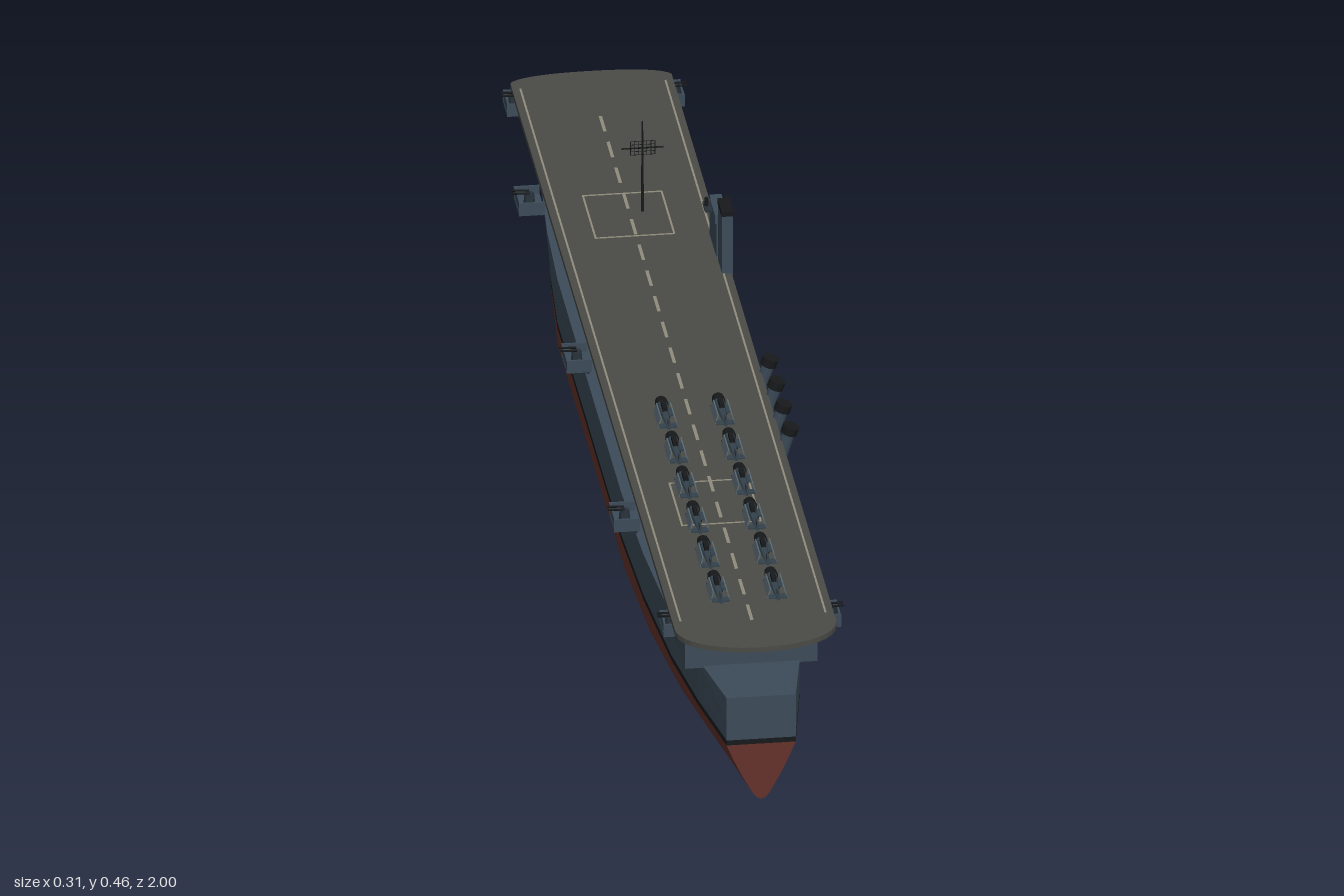
import * as THREE from 'three';

const CX = 0.009; // ship centreline
const mat = (color, side = THREE.FrontSide) =>
  new THREE.MeshStandardMaterial({ color, flatShading: true, side });
const GREY = mat(0x3c4b59), DARK = mat(0x28323b), BLACK = mat(0x17191a), RED = mat(0x65322b);
const DECK = mat(0x4a4a46), LINE = mat(0x8f8c7c), PLANE = mat(0x34424c), WING = mat(0x5b6a72);

function add(parent, name, geo, material, x = 0, y = 0, z = 0) {
  const m = new THREE.Mesh(geo, material);
  m.name = name;
  m.position.set(x, y, z);
  parent.add(m);
  return m;
}
const box = (p, name, m, w, h, d, x, y, z) => add(p, name, new THREE.BoxGeometry(w, h, d), m, x, y, z);

// Cylinder between two points
function rod(p, name, m, a, b, r0, r1 = r0, n = 6) {
  const A = new THREE.Vector3(...a), B = new THREE.Vector3(...b), d = B.clone().sub(A);
  const c = add(p, name, new THREE.CylinderGeometry(r1, r0, d.length(), n), m);
  c.position.copy(A).add(B).multiplyScalar(0.5);
  c.quaternion.setFromUnitVectors(new THREE.Vector3(0, 1, 0), d.normalize());
  return c;
}

// Closed solid through rings running port, keel, starboard, from stern to bow
function loft(rings) {
  const pos = [], n = rings[0].length;
  const tri = (a, b, c) => pos.push(...a, ...b, ...c);
  for (let i = 0; i < rings.length - 1; i++)
    for (let j = 0; j < n; j++) {
      const k = (j + 1) % n, [a, b, c, d] = [rings[i][j], rings[i + 1][j], rings[i][k], rings[i + 1][k]];
      tri(a, b, c);
      tri(c, b, d);
    }
  [rings[0], rings[rings.length - 1]].forEach((r, e) => {
    const c = [0, 1, 2].map(q => r.reduce((s, p) => s + p[q], 0) / n);
    for (let j = 0; j < n; j++) {
      const k = (j + 1) % n;
      e ? tri(c, r[k], r[j]) : tri(c, r[j], r[k]);
    }
  });
  const g = new THREE.BufferGeometry();
  g.setAttribute('position', new THREE.Float32BufferAttribute(pos, 3));
  g.computeVertexNormals();
  return g;
}

function createHull(ship) {
  // z, waterline half breadth, deck half breadth, fullness of the bottom, deck height
  const stations = [
    [0.99, 0.051, 0.051, 0, 0.167], [0.85, 0.075, 0.077, 0.35, 0.167], [0.7, 0.094, 0.096, 0.65, 0.167],
    [0.5, 0.108, 0.109, 0.9, 0.167], [0.3, 0.114, 0.114, 1, 0.167], [0, 0.114, 0.114, 1, 0.167],
    [-0.4, 0.114, 0.114, 1, 0.169], [-0.55, 0.104, 0.109, 0.9, 0.172], [-0.7, 0.083, 0.098, 0.65, 0.176],
    [-0.82, 0.056, 0.078, 0.4, 0.181], [-0.9, 0.034, 0.053, 0.2, 0.185], [-0.96, 0.015, 0.028, 0.08, 0.188],
    [-1, 0.002, 0.003, 0, 0.19]];
  const full = [[0, 0.001], [0.35, 0.005], [0.7, 0.011], [0.84, 0.022], [0.94, 0.038], [0.99, 0.058], [1, 0.09]];
  const vee = [[0, 0], [0.12, 0.002], [0.27, 0.012], [0.48, 0.032], [0.66, 0.05], [0.82, 0.068], [1, 0.09]];
  const mirror = (half, z) => [
    ...half.slice().reverse().map(([x, y]) => [CX - x, y, z]),
    ...half.map(([x, y]) => [CX + x, y, z])];
  const band = (name, m, half) => add(ship, name, loft(stations.map(s => mirror(half(s), s[0]))), m);
  band('lowerHull', RED, ([, w, , f]) => full.map(([x, y], i) =>
    [w * THREE.MathUtils.lerp(vee[i][0], x, f), THREE.MathUtils.lerp(vee[i][1], y, f)]));
  band('waterlineStripe', BLACK, ([, w]) => [[w, 0.09], [w, 0.098]]);
  band('upperHull', GREY, ([, w, d, , h]) => [[w, 0.098], [w + (d - w) * 0.4, 0.13], [d, h]]);
  // Bollards on the foredeck
  for (const s of [-1, 1]) for (const z of [-0.87, -0.93])
    rod(ship, 'bollard', BLACK, [CX + s * 0.018, 0.183, z], [CX + s * 0.018, 0.194, z], 0.003);
}

function createFlightDeck(ship) {
  box(ship, 'hangar', GREY, 0.196, 0.083, 1.635, CX, 0.2055, 0.0625);
  const s = new THREE.Shape(), w = 0.119;
  s.moveTo(-w, -0.93);
  s.bezierCurveTo(-w * 0.95, -0.98, -0.05, -1, 0, -1);
  s.bezierCurveTo(0.05, -1, w * 0.95, -0.98, w, -0.93);
  s.lineTo(w, 0.88);
  s.bezierCurveTo(w * 0.9, 0.9, 0.05, 0.905, 0, 0.905);
  s.bezierCurveTo(-0.05, 0.905, -w * 0.9, 0.9, -w, 0.88);
  const g = new THREE.ExtrudeGeometry(s, { depth: 0.008, bevelEnabled: false, curveSegments: 10 });
  add(ship, 'flightDeck', g.rotateX(-Math.PI / 2), DECK, CX, 0.244, 0);

  // Painted lines
  const Y = 0.2522;
  for (let z = -0.73; z < 0.9; z += 0.085) box(ship, 'centreDash', LINE, 0.005, 0.001, 0.05, CX - 0.003, Y, z);
  for (const x of [-0.107, 0.107]) box(ship, 'edgeLine', LINE, 0.003, 0.001, 1.76, CX + x, Y, 0.02);
  for (const z of [-0.43, 0.52]) {
    for (const q of [-1, 1]) {
      box(ship, 'elevatorOutline', LINE, 0.118, 0.001, 0.003, 0.004, Y, z + q * 0.07);
      box(ship, 'elevatorOutline', LINE, 0.003, 0.001, 0.14, 0.004 + q * 0.058, Y, z);
    }
  }
  for (const q of [-1, 1]) {
    // Catwalk, brackets and end braces under the deck edge
    box(ship, 'catwalk', DARK, 0.016, 0.006, 1.72, CX + q * 0.108, 0.239, 0.02);
    for (let z = -0.72; z < 0.87; z += 0.104)
      rod(ship, 'deckBracket', DARK, [CX + q * 0.097, 0.222, z], [CX + q * 0.113, 0.24, z], 0.003, 0.003, 4);
    for (const [z0, z1] of [[0.88, 0.95], [-0.755, -0.85]])
      rod(ship, 'endBrace', BLACK, [CX + q * 0.062, 0.213, z0], [CX + q * 0.1, 0.243, z1], 0.003, 0.003, 5);
  }
}

// Platform with a gun pointing outward on side q
function gunPlatform(ship, q, z, x, w, d, y) {
  const g = new THREE.Group();
  g.name = 'gunPlatform';
  g.position.set(CX + q * x, y, z);
  box(g, 'platform', GREY, w, 0.006, d, 0, 0, 0);
  box(g, 'shield', GREY, 0.003, 0.018, d, q * (w / 2 - 0.002), 0.008, 0);
  for (const e of [-1, 1]) box(g, 'shield', GREY, w, 0.018, 0.003, 0, 0.008, e * (d / 2 - 0.002));
  rod(g, 'gunMount', DARK, [0, 0, 0], [0, 0.019, 0], 0.009, 0.007, 8);
  for (const e of [-1, 1])
    rod(g, 'barrel', BLACK, [0, 0.021, e * 0.005], [q * (w / 2 + 0.006), 0.022, e * 0.005], 0.0016);
  rod(g, 'support', DARK, [-q * w / 2, -0.018, 0], [q * w * 0.3, -0.002, 0], 0.003);
  ship.add(g);
}

function createIsland(ship) {
  const g = new THREE.Group();
  g.name = 'island';
  box(g, 'bridgeTower', GREY, 0.018, 0.066, 0.08, 0.122, 0.282, -0.315);
  box(g, 'bridgeTop', GREY, 0.022, 0.014, 0.055, 0.122, 0.312, -0.305);
  box(g, 'bridgeWing', DARK, 0.036, 0.004, 0.03, 0.118, 0.313, -0.32);
  for (const x of [0.104, 0.133]) rod(g, 'lookout', BLACK, [x, 0.313, -0.32], [x, 0.328, -0.32], 0.003);
  box(g, 'funnel', GREY, 0.016, 0.098, 0.045, 0.122, 0.297, -0.243);
  box(g, 'funnelCap', BLACK, 0.018, 0.007, 0.048, 0.122, 0.349, -0.243);
  box(g, 'islandBase', GREY, 0.014, 0.035, 0.05, 0.122, 0.268, -0.265);
  ship.add(g);

  // Mast with lattice aerial
  const m = new THREE.Group();
  m.name = 'mast';
  m.position.set(CX, 0, -0.315);
  rod(m, 'lowerMast', BLACK, [0, 0.315, 0], [0, 0.37, 0], 0.0026, 0.002);
  rod(m, 'upperMast', BLACK, [0, 0.37, 0], [0, 0.461, 0], 0.002, 0.0012);
  rod(m, 'yard', BLACK, [-0.031, 0.418, 0], [0.031, 0.418, 0], 0.0012);
  for (let i = 0; i < 7; i++) {
    const x = -0.018 + i * 0.006;
    rod(m, 'aerialBar', BLACK, [x, 0.409, 0.004], [x, 0.431, 0.004], 0.0005, 0.0005, 4);
  }
  for (let i = 0; i < 5; i++) {
    const y = 0.409 + i * 0.0055;
    rod(m, 'aerialBar', BLACK, [-0.018, y, 0.004], [0.018, y, 0.004], 0.0005, 0.0005, 4);
  }
  ship.add(m);

  // Slanted exhaust stacks on the side
  for (let i = 0; i < 4; i++) {
    const z = 0.105 + i * 0.075;
    rod(ship, 'exhaustStack', GREY, [0.114, 0.178, z - 0.008], [0.139, 0.266, z], 0.0095, 0.0095, 12);
    rod(ship, 'exhaustCap', BLACK, [0.138, 0.263, z], [0.142, 0.275, z + 0.001], 0.0125, 0.0125, 12);
  }
}

// Parked aircraft with wings folded back, nose toward the bow
function parkedPlane(ship, x, z) {
  const g = new THREE.Group();
  g.name = 'parkedPlane';
  g.position.set(x, 0.265, z);
  rod(g, 'fuselage', PLANE, [0, 0, -0.03], [0, 0.001, 0.048], 0.0085, 0.003, 8);
  rod(g, 'engineCowl', BLACK, [0, 0, -0.043], [0, 0, -0.028], 0.009, 0.01, 10);
  box(g, 'canopy', BLACK, 0.007, 0.007, 0.022, 0, 0.009, -0.008);
  box(g, 'tailFin', PLANE, 0.002, 0.013, 0.012, 0, 0.007, 0.042);
  box(g, 'tailplane', PLANE, 0.026, 0.002, 0.013, 0, 0.001, 0.04);
  for (const q of [-1, 1]) {
    box(g, 'wingRoot', PLANE, 0.008, 0.003, 0.022, q * 0.009, -0.003, -0.012);
    box(g, 'foldedWing', WING, 0.002, 0.015, 0.05, q * 0.012, 0.005, 0.012).rotation.z = q * 0.25;
    rod(g, 'wheelLeg', BLACK, [q * 0.009, -0.013, -0.015], [q * 0.009, -0.002, -0.015], 0.002);
  }
  ship.add(g);
}

export function createModel() {
  const ship = new THREE.Group();
  ship.name = 'carrier';
  createHull(ship);
  createFlightDeck(ship);
  createIsland(ship);
  for (const z of [-0.53, -0.01, 0.515]) gunPlatform(ship, -1, z, 0.138, 0.038, 0.06, 0.228);
  for (const q of [-1, 1]) for (const z of [-0.85, 0.87]) gunPlatform(ship, q, z, 0.118, 0.026, 0.05, 0.228);
  for (let i = 0; i < 6; i++) for (const x of [-0.034, 0.05]) parkedPlane(ship, x, 0.25 + i * 0.115);
  return ship;
}
